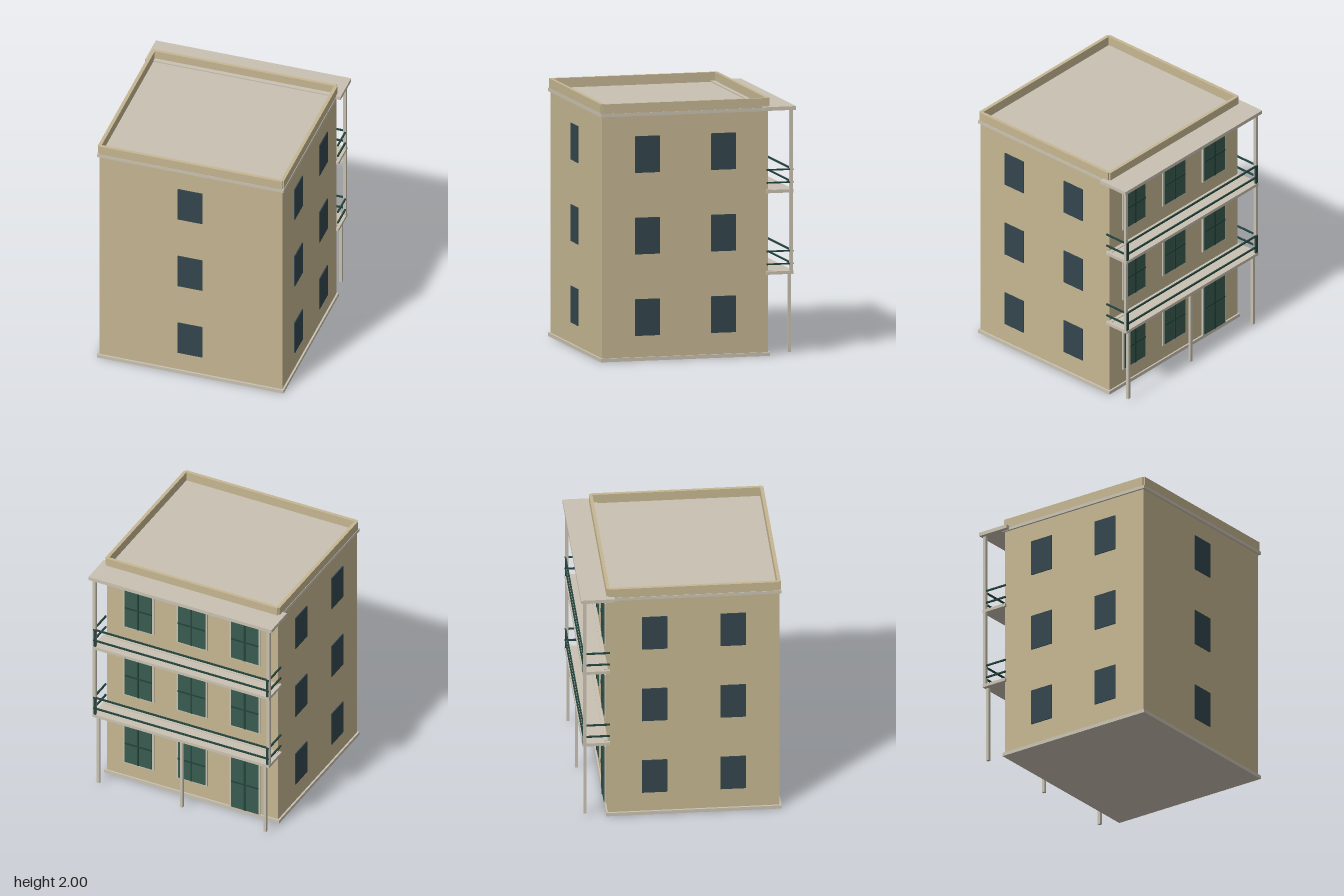
import * as THREE from 'three';

export function createModel() {
  const model = new THREE.Group();
  model.name = 'apartmentBuilding';

  const mat = (name, color) => {
    const m = new THREE.MeshStandardMaterial({ color });
    m.name = name;
    return m;
  };
  const wall = mat('sandWall', 0xc6b792);
  const trim = mat('paleStone', 0xc9c2b2);
  const glass = mat('darkGlass', 0x34464d);
  const shutter = mat('greenShutter', 0x385b4f);
  const rail = mat('darkGreenRail', 0x24443d);

  // Box given by its extents on each axis
  const box = (parent, name, m, [x0, x1], [y0, y1], [z0, z1]) => {
    const mesh = new THREE.Mesh(new THREE.BoxGeometry(x1 - x0, y1 - y0, z1 - z0), m);
    mesh.position.set((x0 + x1) / 2, (y0 + y1) / 2, (z0 + z1) / 2);
    mesh.name = name;
    parent.add(mesh);
    return mesh;
  };
  const group = (name) => {
    const g = new THREE.Group();
    g.name = name;
    model.add(g);
    return g;
  };
  const around = (c, size) => [c - size / 2, c + size / 2];

  const FRONT = 0.757, BACK = -0.565, SIDE = 0.74;
  const STOREY = 0.632;

  // Main block, plinth and roof slab
  box(model, 'mainBlock', wall, [-SIDE, SIDE], [0.02, 1.902], [BACK, FRONT]);
  box(model, 'plinth', trim, [-0.755, 0.755], [0, 0.028], [-0.578, 0.772]);
  box(model, 'roofSlab', trim, [-0.755, 0.755], [1.9, 1.925], [-0.578, 0.772]);

  // Parapet around the roof
  const parapet = group('parapet');
  box(parapet, 'frontParapet', wall, [-0.74, 0.74], [1.925, 2], [0.742, 0.769]);
  box(parapet, 'backParapet', wall, [-0.74, 0.74], [1.925, 2], [-0.576, -0.55]);
  for (const s of [-1, 1]) {
    box(parapet, 'sideParapet', wall, around(s * 0.738, 0.027), [1.925, 1.9995], [-0.562, 0.755]);
  }

  // Plain windows on the front and both sides
  const windows = group('windows');
  for (let i = 0; i < 3; i++) {
    const y = around(0.337 + i * STOREY, 0.284);
    box(windows, 'frontWindow', glass, around(0, 0.2), y, around(0.772, 0.008));
    for (const s of [-1, 1]) {
      for (const z of [0.4, -0.206]) {
        box(windows, 'sideWindow', glass, around(s * 0.753, 0.008), y, around(z, 0.195));
      }
    }
  }

  // Shuttered openings on the back: stone frame, two leaves and dark bars
  const opening = (name, x, y0, y1) => {
    const g = group(name);
    const mid = (y0 + y1) / 2;
    box(g, 'frame', trim, around(x, 0.265), [y0, y1], [-0.577, BACK]);
    box(g, 'leaves', shutter, around(x, 0.235), [y0 + 0.012, y1 - 0.012], [-0.583, -0.577]);
    box(g, 'middleBar', rail, around(x, 0.013), [y0 + 0.012, y1 - 0.012], [-0.587, -0.583]);
    box(g, 'crossBar', rail, around(x, 0.235), around(mid, 0.014), [-0.587, -0.583]);
  };
  for (let i = 0; i < 3; i++) {
    for (const x of [-0.46, 0, 0.46]) {
      const isDoor = i === 0 && x < 0;
      const y0 = isDoor ? 0.02 : 0.147 + i * STOREY;
      opening(isDoor ? 'backDoor' : 'shutteredWindow', x, y0, 0.523 + i * STOREY);
    }
  }

  // Balconies with their railings
  for (let i = 0; i < 2; i++) {
    const y = 0.63 + i * STOREY;
    const b = group('balcony');
    box(b, 'balconyFloor', trim, [-0.763, 0.763], [y, y + 0.025], [-0.762, -0.55]);
    box(b, 'floorLedge', trim, [-0.74, 0.74], [y + 0.025, y + 0.031], [-0.593, -0.55]);
    for (const h of [0.08, 0.18]) {
      const ry = around(y + h, 0.012);
      box(b, 'longRail', rail, [-0.76, 0.76], ry, [-0.761, -0.749]);
      for (const s of [-1, 1]) {
        box(b, 'sideRail', rail, around(s * 0.755, 0.012), ry, [-0.755, -0.55]);
      }
    }
    for (const s of [-1, 1]) {
      box(b, 'railPost', rail, around(s * 0.745, 0.022), [y + 0.025, y + 0.186], [-0.7605, -0.748]);
    }
  }

  // Columns: three below the first balcony, two running up to the canopy
  const columns = group('columns');
  for (const x of [-0.72, 0, 0.72]) {
    box(columns, 'lowerColumn', trim, around(x, 0.023), [0.02, 0.632], around(-0.74, 0.023));
  }
  for (const s of [-1, 1]) {
    box(columns, 'upperColumn', trim, around(s * 0.751, 0.024), [0.65, 1.906], around(-0.745, 0.024));
  }

  // Canopy over the balconies
  box(model, 'canopy', trim, [-0.79, 0.79], [1.905, 1.934], [-0.775, -0.515]);

  return model;
}
